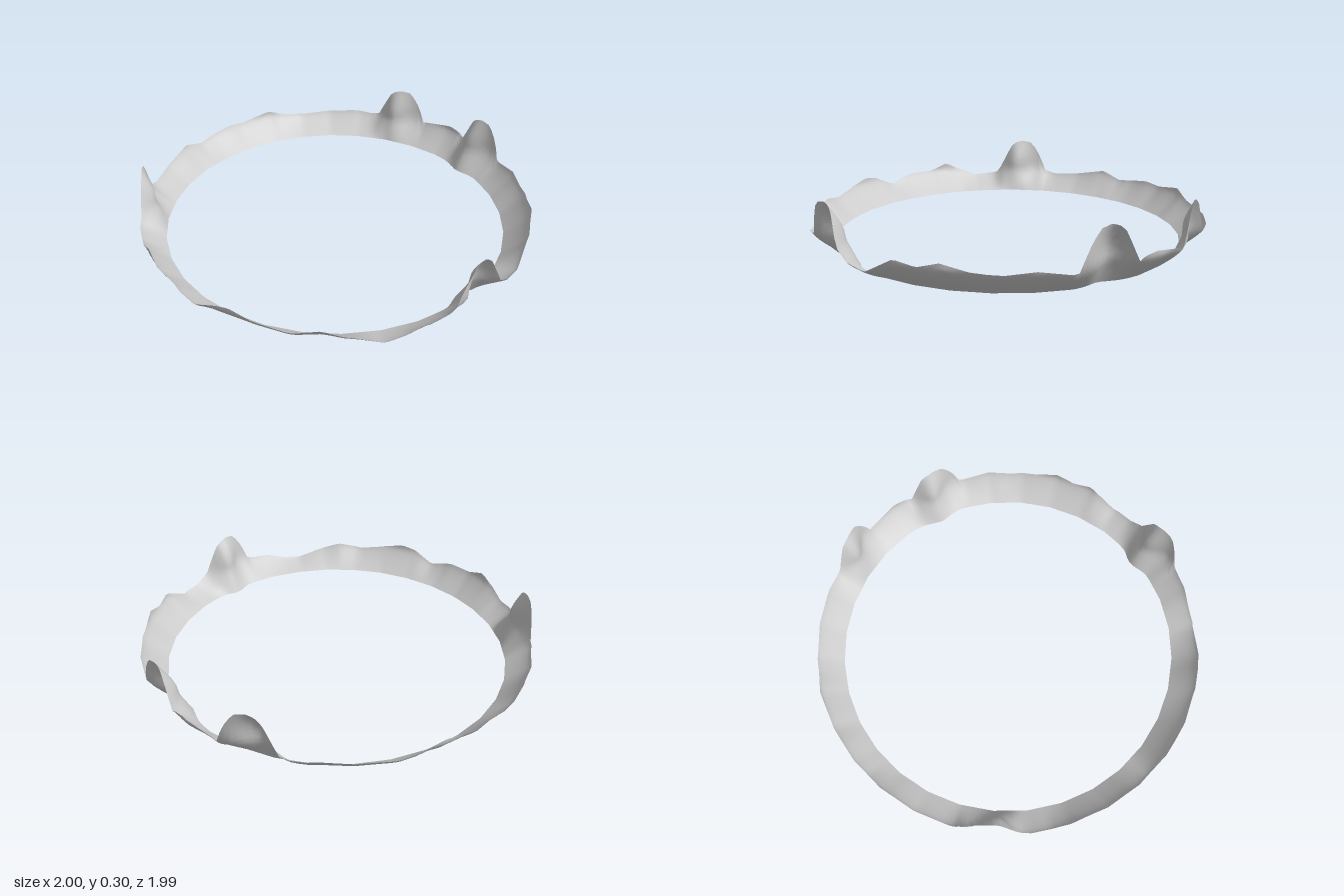
import * as THREE from 'three';

// Low waves of the rim between the crests: [angle in degrees from +x towards +z, height]
const waves = [
  [8, 0.1], [13, 0.09], [18, 0.06], [24, 0.045], [30, 0.08], [39, 0.125], [47, 0.10], [54, 0.12],
  [62.5, 0.155], [67, 0.14], [74, 0.08], [82, 0.125], [90, 0.125], [96, 0.165], [100, 0.13],
  [107, 0.08], [115, 0.09], [137, 0.09], [145, 0.10], [156, 0.14], [163, 0.10], [175, 0.13],
  [181, 0.12], [191, 0.15], [198, 0.11], [204, 0.10], [212, 0.11], [223, 0.12], [229, 0.11],
  [250, 0.12], [260, 0.15], [264, 0.14], [284, 0.11], [292.5, 0.135], [300, 0.12],
  [308, 0.13], [315, 0.16], [321, 0.13], [327, 0.15], [336, 0.065], [343, 0.075],
];
// One tall crest, repeated at four places: [offset in degrees, height]
const crest = [[-8.5, 0.12], [-6.2, 0.2], [-4.5, 0.26], [-2.5, 0.29], [0, 0.3], [2.8, 0.29], [4.8, 0.25], [6.4, 0.2], [8.5, 0.11]];
// Crest centres, and how far the foot bulges inwards there
const crests = [[125, 0], [240.5, 0], [274.3, 0.033], [356, 0.033]];

const rim = [...waves];
for (const [centre] of crests) {
  for (const [offset, h] of crest) rim.push([(centre + offset + 360) % 360, h]);
}
rim.sort((a, b) => a[0] - b[0]);

// Height of the rim at an angle, linear between the points
function rimHeight(deg) {
  let next = rim.findIndex((p) => p[0] > deg);
  if (next < 0) next = 0;
  const [a0, h0] = rim[(next + rim.length - 1) % rim.length];
  const [a1, h1] = rim[next];
  const span = (a1 - a0 + 360) % 360;
  return THREE.MathUtils.lerp(h0, h1, ((deg - a0 + 360) % 360) / span);
}

// Point of the wall: t runs from the foot (0) to the rim (1)
function wallPoint(deg, t) {
  const h = rimHeight(deg);
  const flare = Math.min(1, t * Math.max(1, h / 0.13));
  let r = 1 - 0.12 * (1 - flare) ** 1.3;
  for (const [centre, foot] of crests) {
    const d = ((deg - centre + 540) % 360) - 180;
    // each crest bows inwards, with a lip that flares out again
    const bow = 0.065 * Math.sin(Math.PI * t) + 0.02 * t + foot * (1 - t);
    r -= bow * Math.exp(-(((d + 2.5) / 5) ** 2));
  }
  // 32-sided outline
  const step = 11.25;
  const local = (deg % step) - step / 2;
  r *= Math.cos(THREE.MathUtils.degToRad(step / 2)) / Math.cos(THREE.MathUtils.degToRad(local));
  const a = THREE.MathUtils.degToRad(deg);
  return [r * Math.cos(a), h * t, r * Math.sin(a)];
}

function wallGeometry(columns, rows) {
  const positions = [];
  const index = [];
  for (let i = 0; i < columns; i++) {
    for (let j = 0; j <= rows; j++) positions.push(...wallPoint((i * 360) / columns, j / rows));
  }
  for (let i = 0; i < columns; i++) {
    for (let j = 0; j < rows; j++) {
      const a = i * (rows + 1) + j;
      const b = ((i + 1) % columns) * (rows + 1) + j;
      index.push(a, a + 1, b, b, a + 1, b + 1);
    }
  }
  const geometry = new THREE.BufferGeometry();
  geometry.setAttribute('position', new THREE.Float32BufferAttribute(positions, 3));
  geometry.setIndex(index);
  geometry.computeVertexNormals();
  return geometry;
}

export function createModel() {
  const group = new THREE.Group();
  group.name = 'splashRing';
  const material = new THREE.MeshStandardMaterial({ color: 0xcccccc, side: THREE.DoubleSide });
  const wall = new THREE.Mesh(wallGeometry(256, 10), material);
  wall.name = 'wavyWall';
  group.add(wall);
  return group;
}
